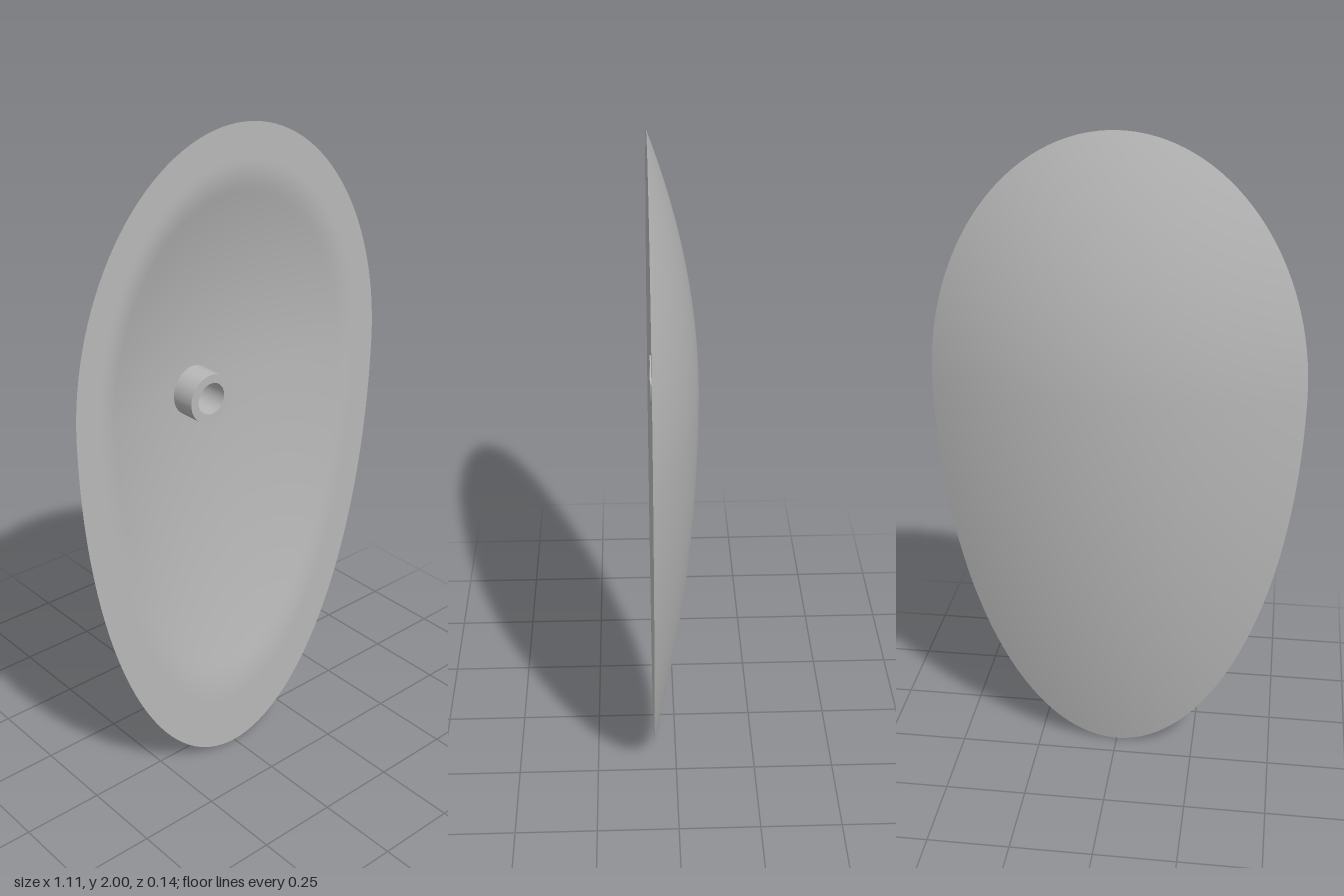
import * as THREE from 'three';

const HALF_WIDTH = 0.553, TOP = 0.75, BOTTOM = 1.25, CENTER_Y = 1.25;
const RIM_Z = 0.07, DEPTH = 0.14, THICKNESS = 0.048;

// Dome height at normalised radius s (0 = centre, 1 = edge)
const domeZ = (s) => RIM_Z - DEPTH * (1 - s * s);

// Hollow: the dome offset forward, softly blended into the flat rim
function hollowZ(s) {
  const z = domeZ(s) + THICKNESS, k = 0.012;
  const h = Math.max(k - Math.abs(z - RIM_Z), 0) / k;
  return Math.min(z, RIM_Z) - h * h * k / 4;
}

// Egg-shaped sheet made of concentric rings, with a height rule
function eggSheet(height, facesFront, rings = 60, segments = 128) {
  const points = [], index = [];
  for (let i = 0; i <= rings; i++) {
    const s = i / rings;
    for (let j = 0; j < segments; j++) {
      const a = (j / segments) * Math.PI * 2;
      const ry = Math.sin(a) > 0 ? TOP : BOTTOM;
      points.push(HALF_WIDTH * s * Math.cos(a), CENTER_Y + ry * s * Math.sin(a), height(s));
      if (i === rings) continue;
      const k = (j + 1) % segments;
      const p = i * segments + j, q = i * segments + k;
      const r = p + segments, t = q + segments;
      const quad = i === 0 ? [p, r, t] : [p, r, t, p, t, q];
      index.push(...(facesFront ? quad : quad.reverse()));
    }
  }
  const geometry = new THREE.BufferGeometry();
  geometry.setAttribute('position', new THREE.Float32BufferAttribute(points, 3));
  geometry.setIndex(index);
  geometry.computeVertexNormals();
  return geometry;
}

export function createModel() {
  const model = new THREE.Group();
  model.name = 'eggShell';
  const grey = new THREE.MeshStandardMaterial({ color: 0xb8b8b8 });
  grey.name = 'plain grey';

  const add = (name, geometry) => {
    const mesh = new THREE.Mesh(geometry, grey);
    mesh.name = name;
    model.add(mesh);
    return mesh;
  };

  // Shell: rounded back, flat rim and hollow front
  add('domedBack', eggSheet(domeZ, false));
  add('rimAndHollow', eggSheet(hollowZ, true));

  // Hollow mounting peg rising from the floor of the dish
  const outer = 0.073, inner = 0.047, back = -0.03, front = 0.067;
  const ring = new THREE.Shape().absarc(0, 0, outer, 0, Math.PI * 2, false);
  ring.holes.push(new THREE.Path().absarc(0, 0, inner, 0, Math.PI * 2, true));
  const peg = add('mountingPeg', new THREE.ExtrudeGeometry(ring, {
    depth: front - back, bevelEnabled: false, curveSegments: 48,
  }));
  peg.position.set(-0.09, 1.24, back);

  return model;
}
